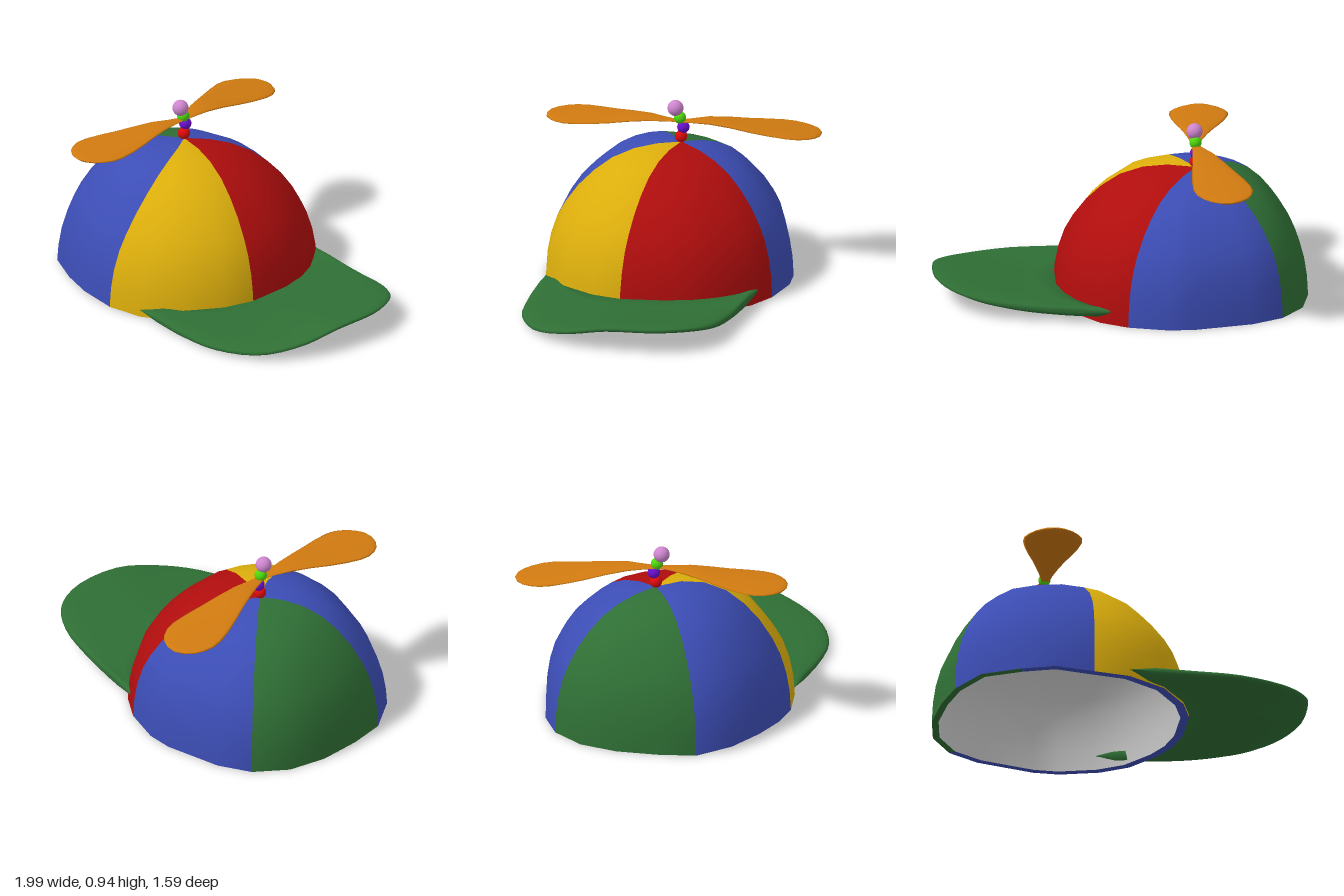
import * as THREE from 'three';

const V = (x, y, z) => new THREE.Vector3(x, y, z);
const GREEN = 0x2f6f35, BLUE = 0x3c4db5, YELLOW = 0xdcae0c, RED = 0xb00d0d, ORANGE = 0xd07a10;

function add(group, name, geometry, color) {
  const mesh = new THREE.Mesh(geometry, new THREE.MeshStandardMaterial({ color, side: THREE.DoubleSide }));
  mesh.name = name;
  group.add(mesh);
  return mesh;
}

// Smooth surface through rows of points; every row is a closed loop
function loft(rows) {
  const n = rows[0].length, index = [];
  for (let j = 0; j < rows.length - 1; j++) {
    for (let i = 0; i < n; i++) {
      const k = (i + 1) % n, a = j * n + i, b = j * n + k;
      index.push(a, b, b + n, a, b + n, a + n);
    }
  }
  const g = new THREE.BufferGeometry().setFromPoints(rows.flat());
  g.setIndex(index);
  g.computeVertexNormals();
  return g;
}

// The columns from..to of a loft, keeping its smooth normals
function columns(geometry, n, from, to) {
  const g = geometry.clone();
  g.setIndex(Array.from(geometry.index.array).filter((_, k) => {
    const i = Math.floor(k / 6) % n;
    return i >= from && i < to;
  }));
  return g.toNonIndexed();
}

// Rim of the crown as [x, z], starting at a seam
const RIM = [
  [-0.77, -0.55], [-0.91, -0.4], [-0.98, -0.2], [-1, 0.03],
  [-0.99, 0.23], [-0.9, 0.41], [-0.72, 0.54], [-0.55, 0.63],
  [-0.35, 0.67], [-0.15, 0.67], [0.07, 0.58], [0.23, 0.42],
  [0.31, 0.27], [0.35, 0.03], [0.34, -0.12], [0.3, -0.25], [0.2, -0.43],
  [0.07, -0.54], [-0.13, -0.63], [-0.27, -0.65], [-0.59, -0.62]];
// Crown profile as [fraction of the rim radius, height]
const PROFILE = [[1, 0.01], [0.99, 0.12], [0.965, 0.22], [0.92, 0.32], [0.86, 0.4], [0.77, 0.49],
  [0.66, 0.57], [0.53, 0.64], [0.37, 0.69], [0.2, 0.715], [0, 0.72]];
const APEX = [-0.4, -0.05];

function crownRows(scale) {
  return PROFILE.map(([f, h], j) => RIM.map(([rx, rz], i) => {
    // one seam sweeps sideways towards the top
    const a = 0.45 * (1 - f) * Math.exp(-(((i - 8) / 2) ** 2));
    const dx = rx - APEX[0], dz = rz - APEX[1], r = f * scale;
    const x = dx * Math.cos(a) + dz * Math.sin(a), z = dz * Math.cos(a) - dx * Math.sin(a);
    const lift = j === 0 && i > 4 && i < 8 ? 0.02 : 0;
    const y = j === 0 ? h + lift : h * (0.5 + scale / 2) + 0.04 * z * Math.sin(Math.PI * f);
    return V(APEX[0] + x * r, y, APEX[1] + z * r);
  }));
}

function makeCrown() {
  const crown = new THREE.Group(), n = RIM.length;
  crown.name = 'crown';
  const outer = crownRows(1), inner = crownRows(0.94);
  const shell = loft(outer);
  [['backPanel', 0, 4, GREEN], ['rightPanel', 4, 8, BLUE], ['frontPanel', 8, 12, YELLOW],
    ['brimPanel', 12, 17, RED], ['leftPanel', 17, 21, BLUE]]
    .forEach(([name, s, e, c]) => add(crown, name, columns(shell, n, s, e), c));
  // underside of the rim, in two colours
  const edge = loft([inner[0], outer[0]]);
  add(crown, 'rimBack', columns(edge, n, 0, 6), GREEN);
  add(crown, 'rimFront', columns(edge, n, 6, n), BLUE);
  add(crown, 'lining', loft(inner.map(row => row.slice().reverse())), 0xcccccc);
  return crown;
}

// Brim: sections swept between a curve on the crown and the outer edge
function brimGeometry() {
  const outer = new THREE.CatmullRomCurve3([
    V(0.05, 0.08, -0.5), V(0.35, 0.075, -0.4), V(0.6, 0.085, -0.32), V(0.8, 0.11, -0.24),
    V(0.93, 0.135, -0.12), V(0.99, 0.145, 0.08), V(0.95, 0.14, 0.35), V(0.86, 0.09, 0.56),
    V(0.7, 0.05, 0.72), V(0.45, 0.037, 0.79), V(0.2, 0.037, 0.76), V(0, 0.045, 0.71), V(-0.15, 0.05, 0.67)]);
  const inner = new THREE.CatmullRomCurve3([
    V(0.03, 0.08, -0.49), V(0.18, 0.06, -0.38), V(0.28, 0.06, -0.22), V(0.32, 0.06, 0),
    V(0.29, 0.055, 0.22), V(0.2, 0.05, 0.4), V(0.05, 0.045, 0.55), V(-0.13, 0.05, 0.64)]);
  const us = [1, 0.985, 0.95, 0.85, 0.65, 0.4, 0.2, 0];
  const section = [...us.map(u => [u, 1]), ...us.slice(1).reverse().map(u => [u, -1])];
  const rows = [], steps = 40;
  for (let j = 0; j <= steps; j++) {
    const t = j / steps, o = outer.getPoint(t), p = inner.getPoint(t);
    const thick = 0.027 * Math.min(1, Math.sin(Math.PI * t) * 4);
    rows.push(section.map(([u, side]) => {
      const q = p.clone().lerp(o, u);
      q.y = p.y + (o.y - p.y) * u ** 1.4 + side * thick * Math.sqrt(1 - u ** 8);
      return q;
    }));
  }
  return loft(rows);
}

// Propeller blade: flat ellipses along a bent line
const HUB = V(-0.4, 0.84, -0.03);
function bladeGeometry(tipX, tipZ, heights) {
  const dir = V(tipX - HUB.x, 0, tipZ - HUB.z), len = dir.length();
  dir.normalize();
  const side = dir.clone().cross(V(0, 1, 0));
  const yCurve = new THREE.SplineCurve(heights.map(([t, y]) => new THREE.Vector2(t, y)));
  const widths = [[0, 0.02], [0.1, 0.035], [0.22, 0.06], [0.36, 0.088], [0.5, 0.118], [0.62, 0.142],
    [0.74, 0.158], [0.82, 0.155], [0.89, 0.133], [0.94, 0.104], [0.98, 0.06], [1, 0.002]];
  return loft(widths.map(([t, w]) => {
    const y = yCurve.getPoint(t).y, h = 0.011 * Math.min(1, w / 0.06);
    return Array.from({ length: 16 }, (_, i) => {
      const a = i / 16 * Math.PI * 2;
      const p = V(HUB.x, y + h * Math.sin(a), HUB.z).addScaledVector(dir, t * len);
      return p.addScaledVector(side, -w * Math.cos(a));
    });
  }));
}

export function createModel() {
  const cap = new THREE.Group();
  cap.name = 'propellerCap';
  cap.add(makeCrown());
  add(cap, 'brim', brimGeometry(), GREEN);

  const propeller = new THREE.Group();
  propeller.name = 'propeller';
  cap.add(propeller);
  add(propeller, 'backBlade', bladeGeometry(-0.44, -0.8, [[0, 0.835], [0.25, 0.835], [0.5, 0.805], [0.75, 0.78], [1, 0.76]]), ORANGE);
  add(propeller, 'frontBlade', bladeGeometry(-0.57, 0.67, [[0, 0.838], [0.25, 0.845], [0.5, 0.832], [0.75, 0.825], [1, 0.82]]), ORANGE);

  // Beads stacked on the spindle: y, z, radius, colour
  [[0.75, -0.048, 0.033, 0xdd0a0a], [0.803, -0.06, 0.033, 0x6a0fd0],
    [0.855, -0.042, 0.033, 0x4fd60c], [0.91, -0.018, 0.043, 0xcf86cf]].forEach(([y, z, r, c]) => {
    add(propeller, 'bead', new THREE.SphereGeometry(r, 24, 16), c).position.set(-0.4, y, z);
  });
  return cap;
}
